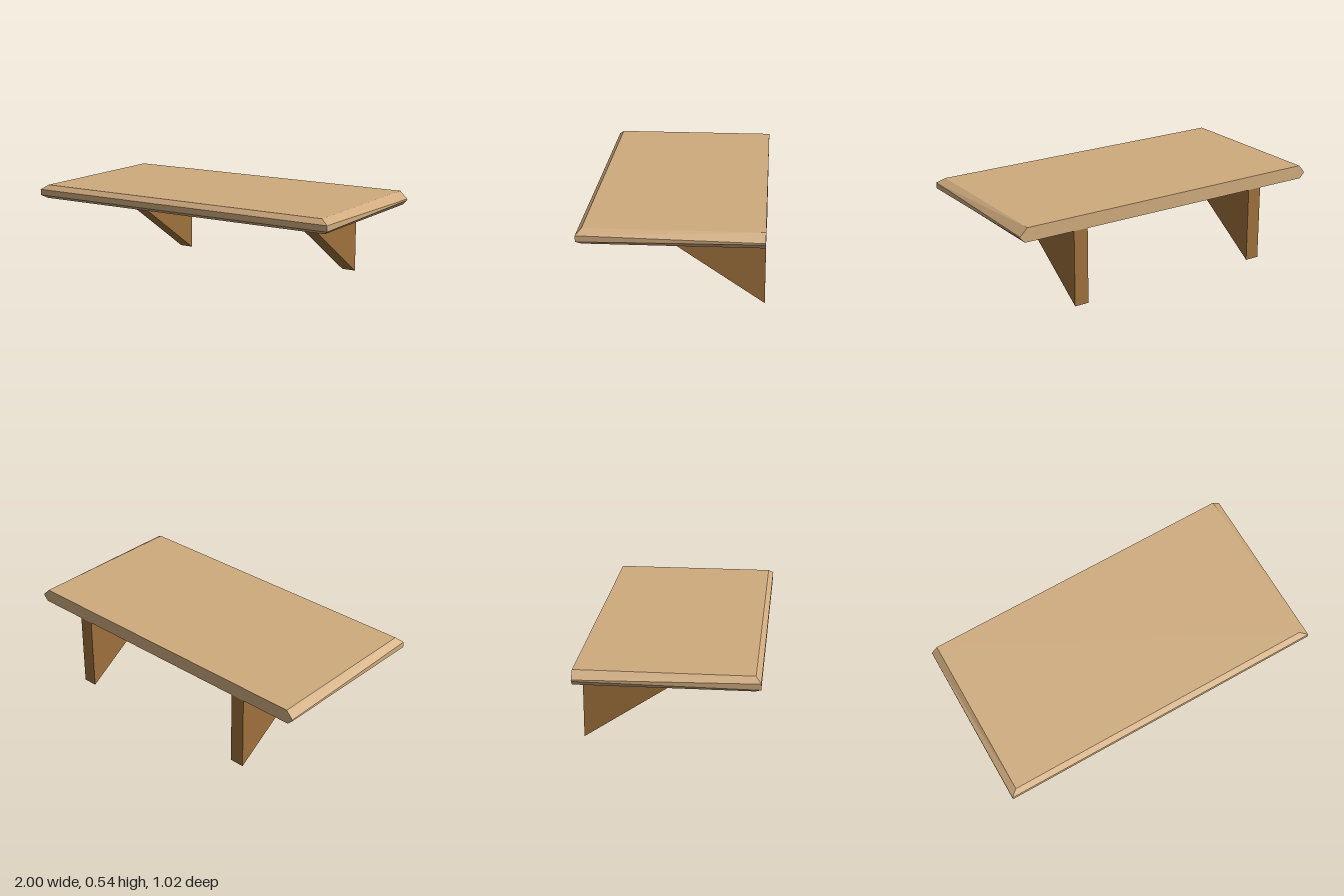
import * as THREE from 'three';

const BACK = -0.51;

// One horizontal ring of the board: back-left, front-left, front-right, back-right
const ring = (x0, x1, front, yFront, yBack) => [
  [x0, yBack, BACK], [x0, yFront, front], [x1, yFront, front], [x1, yBack, BACK],
];

function boardGeometry() {
  // Bevelled on the front and both ends, flat at the back
  const rings = [
    ring(-0.97, 0.97, 0.48, 0.452, 0.452),
    ring(-1, 1, 0.51, 0.472, 0.482),
    ring(-1, 1, 0.51, 0.507, 0.49),
    ring(-0.96, 0.953, 0.48, 0.535, 0.535),
  ];
  const positions = [];
  const quad = (a, b, c, d) => positions.push(...a, ...b, ...c, ...a, ...c, ...d);
  for (let r = 0; r < rings.length - 1; r++) {
    for (let i = 0; i < 4; i++) {
      const j = (i + 1) % 4;
      quad(rings[r][i], rings[r][j], rings[r + 1][j], rings[r + 1][i]);
    }
  }
  quad(...rings[3]);
  quad(...[...rings[0]].reverse());
  const geometry = new THREE.BufferGeometry();
  geometry.setAttribute('position', new THREE.Float32BufferAttribute(positions, 3));
  geometry.computeVertexNormals();
  return geometry;
}

function bracketGeometry(width) {
  // Triangle drawn in (-z, y), extruded along x
  const shape = new THREE.Shape([
    new THREE.Vector2(0.51, 0),
    new THREE.Vector2(0.51, 0.453),
    new THREE.Vector2(-0.172, 0.453),
  ]);
  return new THREE.ExtrudeGeometry(shape, { depth: width, bevelEnabled: false })
    .translate(0, 0, -width / 2)
    .rotateY(Math.PI / 2);
}

export function createModel() {
  const lightWood = new THREE.MeshStandardMaterial({ color: 0xcfab7e });
  lightWood.name = 'lightWood';
  const darkWood = new THREE.MeshStandardMaterial({ color: 0x9e713c });
  darkWood.name = 'darkWood';

  const group = new THREE.Group();
  group.name = 'wallShelf';

  const board = new THREE.Mesh(boardGeometry(), lightWood);
  board.name = 'shelfBoard';
  group.add(board);

  // Two triangular supports under the board
  const geometry = bracketGeometry(0.088);
  for (const [name, x] of [['rightBracket', -0.61], ['leftBracket', 0.618]]) {
    const bracket = new THREE.Mesh(geometry, darkWood);
    bracket.name = name;
    bracket.position.x = x;
    group.add(bracket);
  }
  return group;
}
